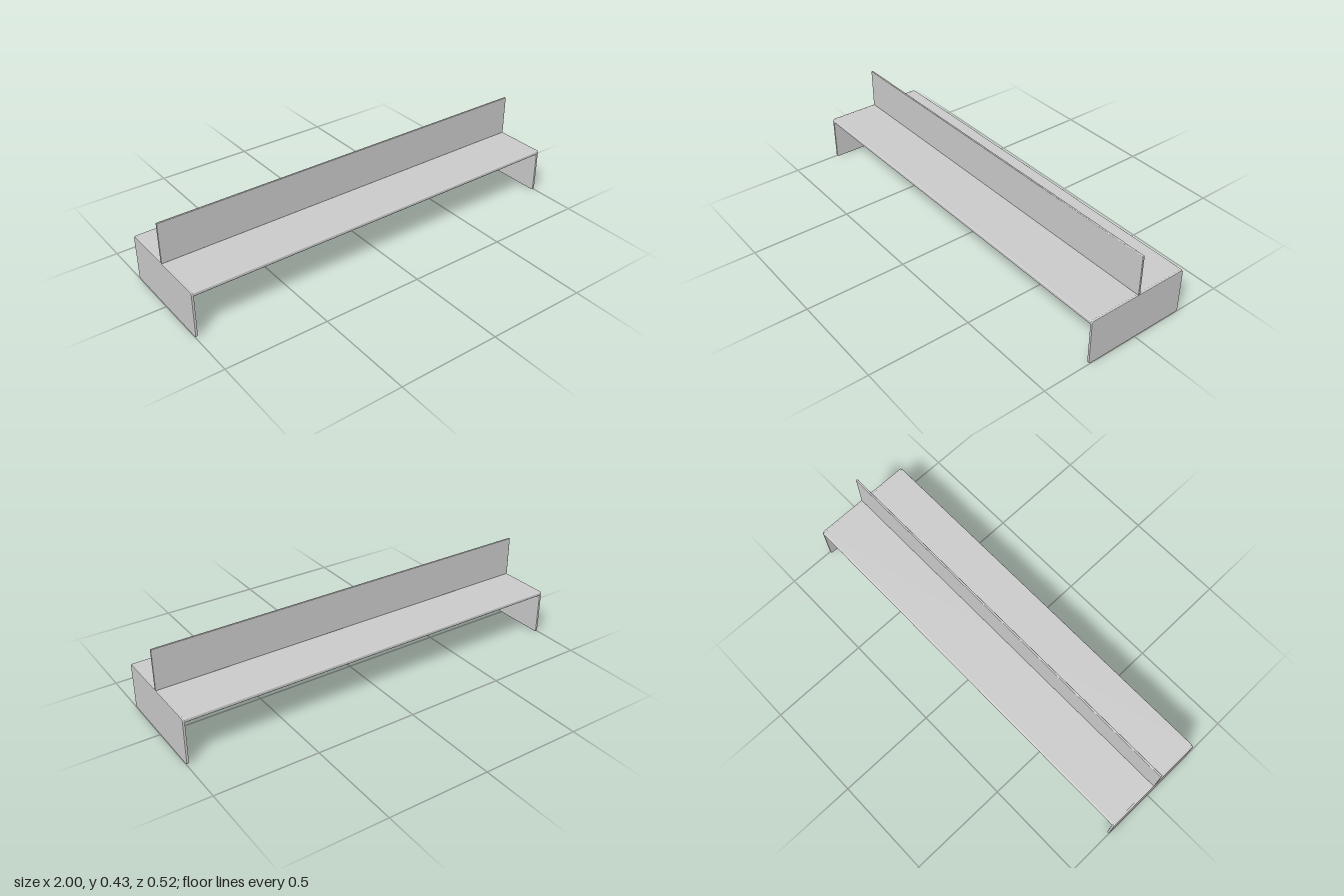
import * as THREE from 'three';
import { RoundedBoxGeometry } from 'three/addons/geometries/RoundedBoxGeometry.js';

const material = new THREE.MeshStandardMaterial({ color: 0xcccccc });

// Board with softened edges, placed by its centre
function board(name, [w, h, d], [x, y, z], radius) {
  const mesh = new THREE.Mesh(new RoundedBoxGeometry(w, h, d, 3, radius), material);
  mesh.name = name;
  mesh.position.set(x, y, z);
  return mesh;
}

// Upright end plate with rounded corners and a fine edge bevel
function endPanel(name, side) {
  const b = 0.003, thickness = 0.012, hw = 0.262 - b, y0 = b, y1 = 0.229 - b, r = 0.008;
  const s = new THREE.Shape();
  s.moveTo(-hw + r, y0);
  s.lineTo(hw - r, y0);
  s.absarc(hw - r, y0 + r, r, -Math.PI / 2, 0);
  s.absarc(hw - r, y1 - r, r, 0, Math.PI / 2);
  s.absarc(-hw + r, y1 - r, r, Math.PI / 2, Math.PI);
  s.absarc(-hw + r, y0 + r, r, Math.PI, Math.PI * 1.5);
  const geometry = new THREE.ExtrudeGeometry(s, {
    depth: thickness - 2 * b, bevelThickness: b, bevelSize: b, bevelSegments: 2, curveSegments: 5,
  });
  geometry.translate(0, 0, -thickness / 2 + b).rotateY(Math.PI / 2);
  const mesh = new THREE.Mesh(geometry, material);
  mesh.name = name;
  mesh.position.x = side * (1 - thickness / 2);
  return mesh;
}

export function createModel() {
  const group = new THREE.Group();
  group.name = 'deskShelf';

  // Horizontal shelf, resting between the two end panels
  group.add(board('shelfTop', [1.988, 0.02, 0.524], [0, 0.219, 0], 0.006));
  group.add(endPanel('leftEndPanel', 1), endPanel('rightEndPanel', -1));

  // Central divider above the shelf and stiffening panel below it
  group.add(board('upperDivider', [2, 0.203, 0.01], [0, 0.3295, 0], 0.003));
  group.add(board('lowerPanel', [1.98, 0.19, 0.01], [0, 0.123, 0], 0.003));
  return group;
}
